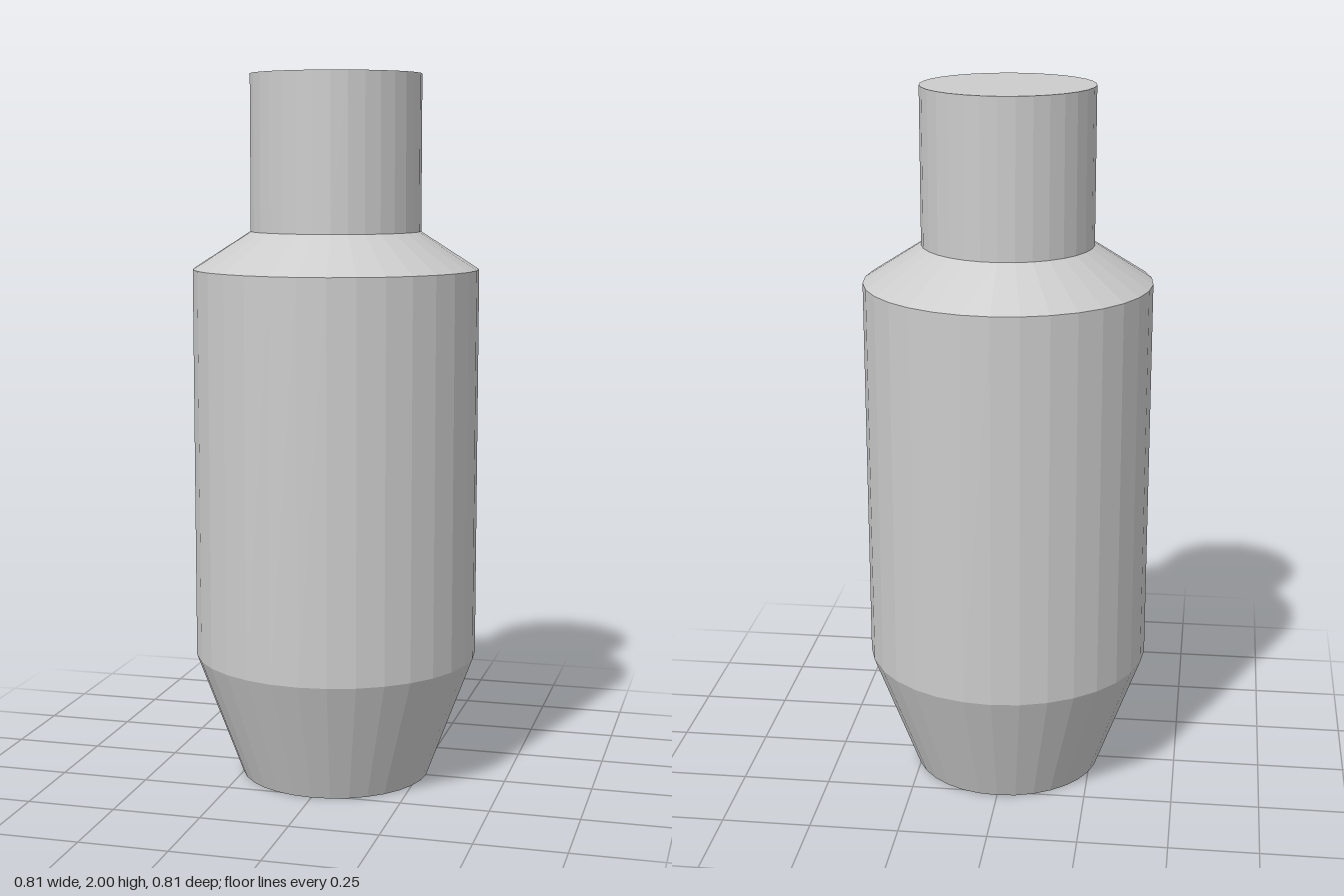
import * as THREE from 'three';

const SIDES = 32;

export function createModel() {
  const model = new THREE.Group();
  model.name = 'steppedBottle';
  const material = new THREE.MeshStandardMaterial({ color: 0xcccccc, flatShading: true });

  // One straight section of the turned body, with an optional flat end cap
  function section(name, y0, r0, y1, r1, cap) {
    const geometry = new THREE.CylinderGeometry(r1, r0, y1 - y0, SIDES, 1, true);
    const mesh = new THREE.Mesh(geometry, material);
    mesh.name = name;
    mesh.position.y = (y0 + y1) / 2;
    model.add(mesh);
    if (!cap) return;
    const disc = new THREE.Mesh(new THREE.CircleGeometry(cap === 'top' ? r1 : r0, SIDES), material);
    disc.name = name + 'Cap';
    disc.rotation.x = cap === 'top' ? -Math.PI / 2 : Math.PI / 2;
    disc.position.y = cap === 'top' ? y1 : y0;
    model.add(disc);
  }

  section('taperedBase', 0, 0.27, 0.355, 0.403, 'bottom');
  section('body', 0.355, 0.403, 1.46, 0.403);
  section('shoulder', 1.46, 0.403, 1.565, 0.24);
  section('neck', 1.565, 0.24, 2, 0.24, 'top');

  return model;
}
